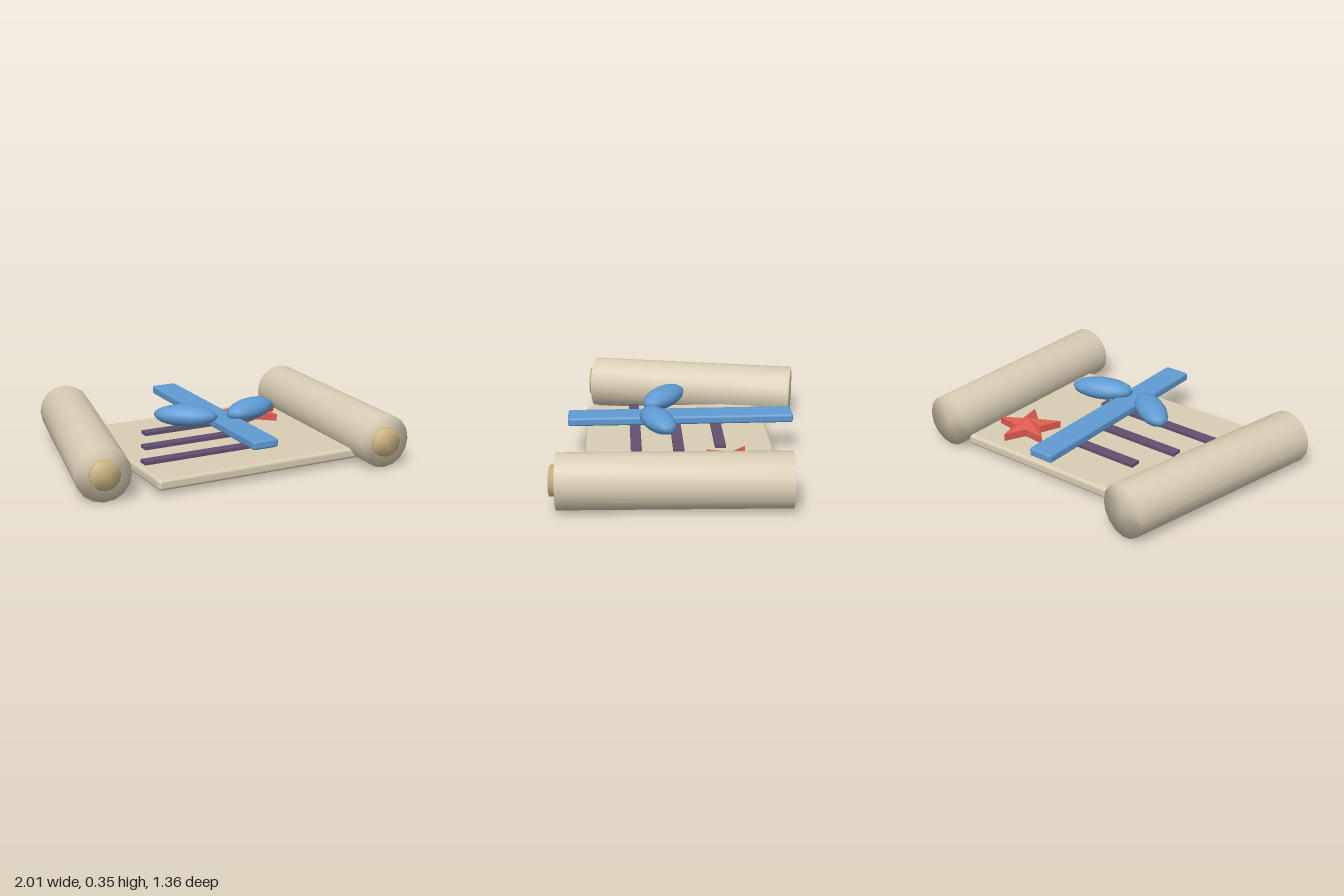
import * as THREE from 'three';
import { mergeVertices } from 'three/addons/utils/BufferGeometryUtils.js';
import { RoundedBoxGeometry } from 'three/addons/geometries/RoundedBoxGeometry.js';

const TILT = 0.12;

function material(name, color) {
  const m = new THREE.MeshStandardMaterial({ color });
  m.name = name;
  return m;
}

// Cylinder along z whose normals blend over the rims, giving soft ends
function softCylinder(radius, length, sides) {
  const raw = new THREE.CylinderGeometry(radius, radius, length, sides).rotateX(Math.PI / 2);
  raw.deleteAttribute('normal');
  raw.deleteAttribute('uv');
  const geo = mergeVertices(raw, 1e-4);
  geo.computeVertexNormals();
  return geo;
}

// Five-pointed star standing on y = 0, with a faceted peak
function starGeometry(outer, inner, wall, peak) {
  const ring = [];
  for (let i = 0; i < 10; i++) {
    const r = i % 2 ? inner : outer;
    const a = (i * Math.PI) / 5;
    ring.push([-r * Math.sin(a), -r * Math.cos(a)]);
  }
  const pos = [];
  for (let i = 0; i < 10; i++) {
    const [ax, az] = ring[i];
    const [bx, bz] = ring[(i + 1) % 10];
    pos.push(0, peak, 0, ax, wall, az, bx, wall, bz);
    pos.push(ax, wall, az, ax, 0, az, bx, 0, bz);
    pos.push(ax, wall, az, bx, 0, bz, bx, wall, bz);
    pos.push(0, 0, 0, bx, 0, bz, ax, 0, az);
  }
  const geo = new THREE.BufferGeometry();
  geo.setAttribute('position', new THREE.Float32BufferAttribute(pos, 3));
  geo.computeVertexNormals();
  return geo;
}

export function createModel() {
  const group = new THREE.Group();
  const parchment = material('parchment', 0xd8cdb4);
  const tan = material('tan', 0xcbb483);
  const blue = material('ribbon blue', 0x5f9bd3);
  const purple = material('ink purple', 0x61506f);
  const red = material('star red', 0xdb5a4e);

  function add(name, geo, mat, x, y, z, turn = 0) {
    const mesh = new THREE.Mesh(geo, mat);
    mesh.name = name;
    mesh.position.set(x, y, z);
    mesh.rotation.y = turn;
    group.add(mesh);
    return mesh;
  }

  // Flat page
  add('page', new RoundedBoxGeometry(1.3, 0.065, 1.12, 3, 0.02), parchment, 0.038, 0.062, 0.007, TILT);

  // Rolled ends with cores, and the two bow loops
  const roll = softCylinder(0.158, 1.295, 16);
  const core = softCylinder(0.087, 0.08, 12);
  const loop = new THREE.SphereGeometry(1, 14, 10);
  for (const side of [-1, 1]) {
    const label = side > 0 ? 'left' : 'right';
    add(label + 'Roll', roll, parchment, side * 0.79, 0.16, -0.025, side * 0.088);
    add(label + 'RollCore', core, tan, side * 0.843, 0.163, 0.613);
    const bow = add(label + 'BowLoop', loop, blue, side * 0.203, 0.287, 0.116, side * 0.5);
    bow.scale.set(0.19, 0.064, 0.086);
  }

  // Written lines, growing longer toward the front
  [0.51, 0.68, 0.85].forEach((length, i) => {
    add('writtenLine' + (i + 1), new THREE.BoxGeometry(length, 0.025, 0.065), purple,
      -0.115, 0.102, -0.22 + i * 0.252, TILT);
  });

  // Star seal
  add('starSeal', starGeometry(0.195, 0.08, 0.045, 0.08), red, 0.393, 0.095, -0.335);

  // Ribbon band
  add('ribbon', new RoundedBoxGeometry(0.16, 0.052, 1.345, 2, 0.014), blue, 0, 0.24, -0.002, TILT);

  return group;
}
